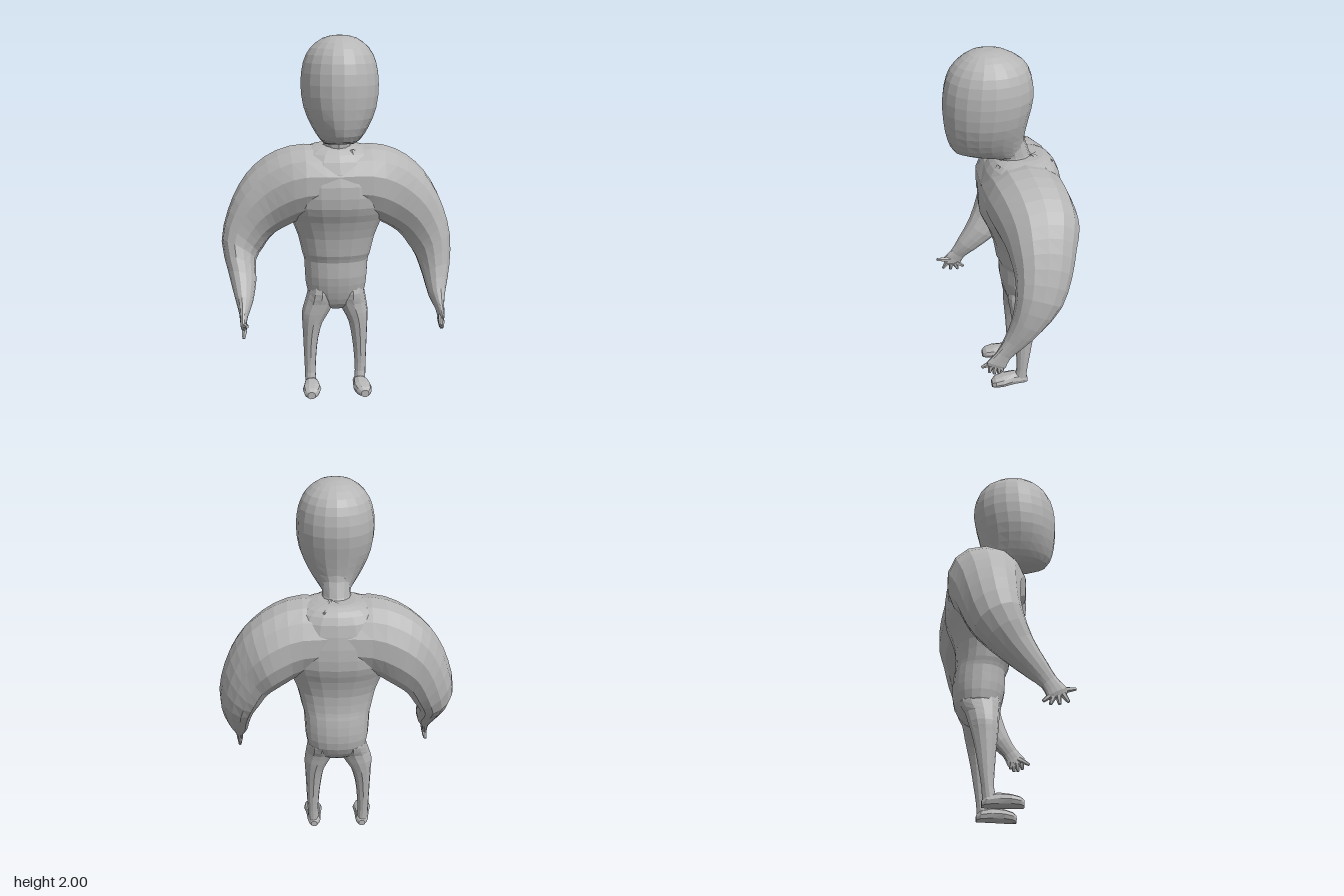
import * as THREE from 'three';

const skin = new THREE.MeshStandardMaterial({ color: 0xb6b6b6 });
skin.name = 'greySkin';

// Smoothly inserts extra sections between the given ones
function refine(rows, steps) {
  const out = [];
  for (let i = 0; i < rows.length - 1; i++) {
    const a = rows[Math.max(i - 1, 0)], b = rows[i], c = rows[i + 1], d = rows[Math.min(i + 2, rows.length - 1)];
    for (let s = 0; s < steps; s++) {
      const t = s / steps;
      out.push(b.map((v, k) => v + 0.5 * t * (c[k] - a[k] + t * (2 * a[k] - 5 * v + 4 * c[k] - d[k] + t * (3 * (v - c[k]) + d[k] - a[k])))));
    }
  }
  out.push(rows[rows.length - 1]);
  return out;
}

// Faceted skin over elliptical sections [cx,cy,cz, ax,ay,az, bx,by,bz]
function loft(name, rows, sides = 14, steps = 2, power = 1) {
  const secs = refine(rows, steps), pos = [], idx = [];
  const soft = v => Math.sign(v) * Math.abs(v) ** power;
  for (const s of secs) {
    for (let j = 0; j < sides; j++) {
      const t = (j / sides) * Math.PI * 2, c = soft(Math.cos(t)), d = soft(Math.sin(t));
      for (let k = 0; k < 3; k++) pos.push(s[k] + s[3 + k] * c + s[6 + k] * d);
    }
  }
  const first = secs.length * sides, last = first + 1, end = (secs.length - 1) * sides;
  pos.push(...secs[0].slice(0, 3), ...secs[secs.length - 1].slice(0, 3));
  for (let j = 0; j < sides; j++) {
    const n = (j + 1) % sides;
    for (let r = 0; r < end; r += sides) {
      idx.push(r + j, r + n, r + sides + j, r + n, r + sides + n, r + sides + j);
    }
    idx.push(first, n, j, last, end + j, end + n);
  }
  // Turn the faces outward if the enclosed volume comes out negative
  const p = i => new THREE.Vector3().fromArray(pos, i * 3);
  let volume = 0;
  for (let i = 0; i < idx.length; i += 3) volume += p(idx[i]).dot(p(idx[i + 1]).cross(p(idx[i + 2])));
  if (volume < 0) idx.reverse();
  const indexed = new THREE.BufferGeometry();
  indexed.setAttribute('position', new THREE.Float32BufferAttribute(pos, 3));
  indexed.setIndex(idx);
  const geo = indexed.toNonIndexed();
  geo.computeVertexNormals();
  const mesh = new THREE.Mesh(geo, skin);
  mesh.name = name;
  return mesh;
}

// Level section: height, centre x, half width, back z, front z, rise of the front edge
const level = (y, x, w, back, front, rise = 0) => [x, y, (back + front) / 2, w, 0, 0, 0, rise, (front - back) / 2];

// Limb section: outer and inner edge, back and front z, rise of the front edge
const cross = (ox, oy, ix, iy, back, front, rise) =>
  [(ox + ix) / 2, (oy + iy) / 2, (back + front) / 2, (ox - ix) / 2, (oy - iy) / 2, 0, 0, rise, (front - back) / 2];

// Tapered digit or fold between two points
function spike(name, from, to, r0, r1) {
  const a = new THREE.Vector3(...from), b = new THREE.Vector3(...to);
  const dir = b.clone().sub(a).normalize();
  const u = new THREE.Vector3(1, 0, 0).cross(dir).normalize(), v = dir.clone().cross(u);
  const row = (t, r) => [...a.clone().lerp(b, t).toArray(), ...u.clone().multiplyScalar(r).toArray(), ...v.clone().multiplyScalar(r).toArray()];
  return loft(name, [row(0, r0), row(0.6, (r0 + r1) / 2), row(1, r1)], 6, 1);
}

function makeArm(side) {
  const arm = new THREE.Group();
  const left = side > 0;
  arm.name = left ? 'leftArm' : 'rightArm';
  // The left forearm reaches less far forward and its hand is nearly closed
  const dz = left ? -0.06 : 0, dx = left ? 0.015 : -0.01, spread = left ? 0.55 : 1;
  const m = row => row.map((v, k) => (k % 3 === 0 ? v * side : v));
  arm.add(loft('shoulderAndArm', [
    cross(-0.02, 1.385, 0, 1.04, -0.3, 0.13, 0),
    cross(0.18, 1.41, 0.18, 1.0, -0.306, 0.125, 0),
    cross(0.33, 1.375, 0.26, 0.96, -0.318, 0.098, 0),
    cross(0.45, 1.295, 0.32, 0.925, -0.318, 0.07, 0),
    cross(0.535, 1.19, 0.37, 0.885, -0.285, 0.055, 0.01),
    cross(0.6, 1.05, 0.41, 0.83, -0.25, 0.045, 0.03),
    cross(0.638, 0.88, 0.45, 0.77, -0.19, 0.05, 0.05),
    cross(0.613 + dx, 0.72, 0.463 + dx, 0.675, -0.055 + dz / 2, 0.1 + dz / 2, 0.045),
    cross(0.58 + dx, 0.6, 0.485 + dx, 0.58, 0.07 + dz, 0.17 + dz, 0.035),
    cross(0.56 + dx, 0.53, 0.515 + dx, 0.515, 0.14 + dz, 0.215 + dz, 0.025),
    cross(0.555 + dx, 0.475, 0.525 + dx, 0.465, 0.165 + dz, 0.265 + dz, 0.025),
    cross(0.545 + dx, 0.45, 0.525 + dx, 0.445, 0.18 + dz, 0.26 + dz, 0.015),
  ].map(m), 14, 2, 0.92));
  const x = 0.535 + dx;
  // Fingers: base z, base y, tip z, tip y
  for (const [bz, by, tz, ty] of [[0.19, 0.465, 0.145, 0.425], [0.2, 0.46, 0.18, 0.41],
    [0.22, 0.46, 0.225, 0.412], [0.245, 0.465, 0.27, 0.425]]) {
    const tip = 0.23 + (tz - 0.23) * spread + dz;
    arm.add(spike('finger', [x * side, by, bz + dz], [(x + 0.005) * side, ty, tip], 0.016, 0.008));
  }
  arm.add(spike('thumb', [x * side, 0.485, 0.23 + dz],
    [(x - 0.015) * side, left ? 0.45 : 0.503, (left ? 0.29 : 0.31) + dz], 0.018, 0.008));
  return arm;
}

function makeLeg(side) {
  const leg = new THREE.Group();
  leg.name = side > 0 ? 'leftLeg' : 'rightLeg';
  // The right leg stands slightly further out
  const o = side > 0 ? 0 : 0.016;
  const L = (y, inner, outer, back, front) => level(y, side * (inner + outer) / 2, (outer - inner) / 2, back, front);
  leg.add(loft('legShape', [
    L(0.66, 0.03, 0.145, -0.21, -0.03),
    L(0.57, 0.01, 0.162, -0.225, -0.005),
    L(0.51, 0.01, 0.172 + o / 2, -0.195, -0.015),
    L(0.45, 0.04, 0.18 + o, -0.18, -0.02),
    L(0.39, 0.07 + o / 2, 0.178 + o, -0.165, -0.027),
    L(0.3, 0.088 + o, 0.174 + o, -0.145, -0.037),
    L(0.2, 0.1 + o, 0.17 + o, -0.128, -0.045),
    L(0.1, 0.105 + o, 0.166 + o, -0.112, -0.048),
    L(0.03, 0.1 + o, 0.165 + o, -0.108, -0.03),
  ], 12, 2));
  // Foot sections from heel to toe: z, centre x, half width, height
  leg.add(loft('foot', [[-0.112, 0.13, 0.018, 0.035], [-0.09, 0.13, 0.036, 0.062], [-0.03, 0.132, 0.042, 0.078],
    [0.035, 0.135, 0.052, 0.07], [0.08, 0.14, 0.042, 0.058], [0.1, 0.142, 0.022, 0.042]].map(([z, x, w, h]) =>
    [side * (x + o), h / 2, z, w, 0, 0, 0, h / 2, 0]), 10, 1, 0.9));
  return leg;
}

export function createModel() {
  const model = new THREE.Group();
  model.name = 'figure';

  // Egg-shaped head, its jaw sloping back to a short neck
  model.add(loft('head', [
    level(2.0, 0, 0.03, 0.05, 0.12),
    level(1.985, 0, 0.09, -0.015, 0.18),
    level(1.935, 0, 0.155, -0.1, 0.25),
    level(1.86, 0, 0.193, -0.142, 0.297),
    level(1.75, 0, 0.207, -0.153, 0.319),
    level(1.63, 0, 0.193, -0.128, 0.316),
    level(1.53, 0, 0.152, -0.108, 0.299),
    level(1.46, 0, 0.108, -0.108, 0.265),
    level(1.425, 0, 0.075, -0.112, 0.2, 0.018),
  ], 20, 2));
  model.add(loft('neck', [
    level(1.6, 0, 0.09, -0.105, 0.06),
    level(1.5, 0, 0.08, -0.112, 0.06),
    level(1.42, 0, 0.075, -0.138, 0.04),
    level(1.34, 0, 0.085, -0.18, 0.03),
  ], 12, 1));

  // Broad chest narrowing to the waist and hips
  model.add(loft('torso', [
    level(1.41, 0, 0.1, -0.21, 0.0),
    level(1.39, 0, 0.18, -0.25, 0.05),
    level(1.33, 0, 0.25, -0.288, 0.098),
    level(1.2, 0, 0.29, -0.307, 0.137),
    level(1.08, 0, 0.285, -0.303, 0.132),
    level(1.0, 0, 0.255, -0.272, 0.095),
    level(0.9, 0, 0.215, -0.245, 0.06),
    level(0.8, 0, 0.192, -0.243, 0.042),
    level(0.76, 0, 0.18, -0.25, 0.025),
    level(0.67, 0, 0.175, -0.257, 0.022),
    level(0.58, 0, 0.163, -0.245, 0.002),
    level(0.51, 0, 0.12, -0.2, -0.025),
    level(0.475, 0, 0.05, -0.15, -0.06),
  ], 20, 2, 0.9));

  // Puckered folds at the base of the neck
  model.add(spike('collarFold', [0.07, 1.38, 0.03], [0.1, 1.25, 0.115], 0.025, 0.008));
  model.add(spike('napeFold', [0.03, 1.395, -0.14], [0.07, 1.385, -0.25], 0.025, 0.006));
  model.add(spike('napeFold', [0.04, 1.395, -0.14], [-0.05, 1.395, -0.21], 0.025, 0.006));

  for (const side of [1, -1]) model.add(makeArm(side), makeLeg(side));
  return model;
}
